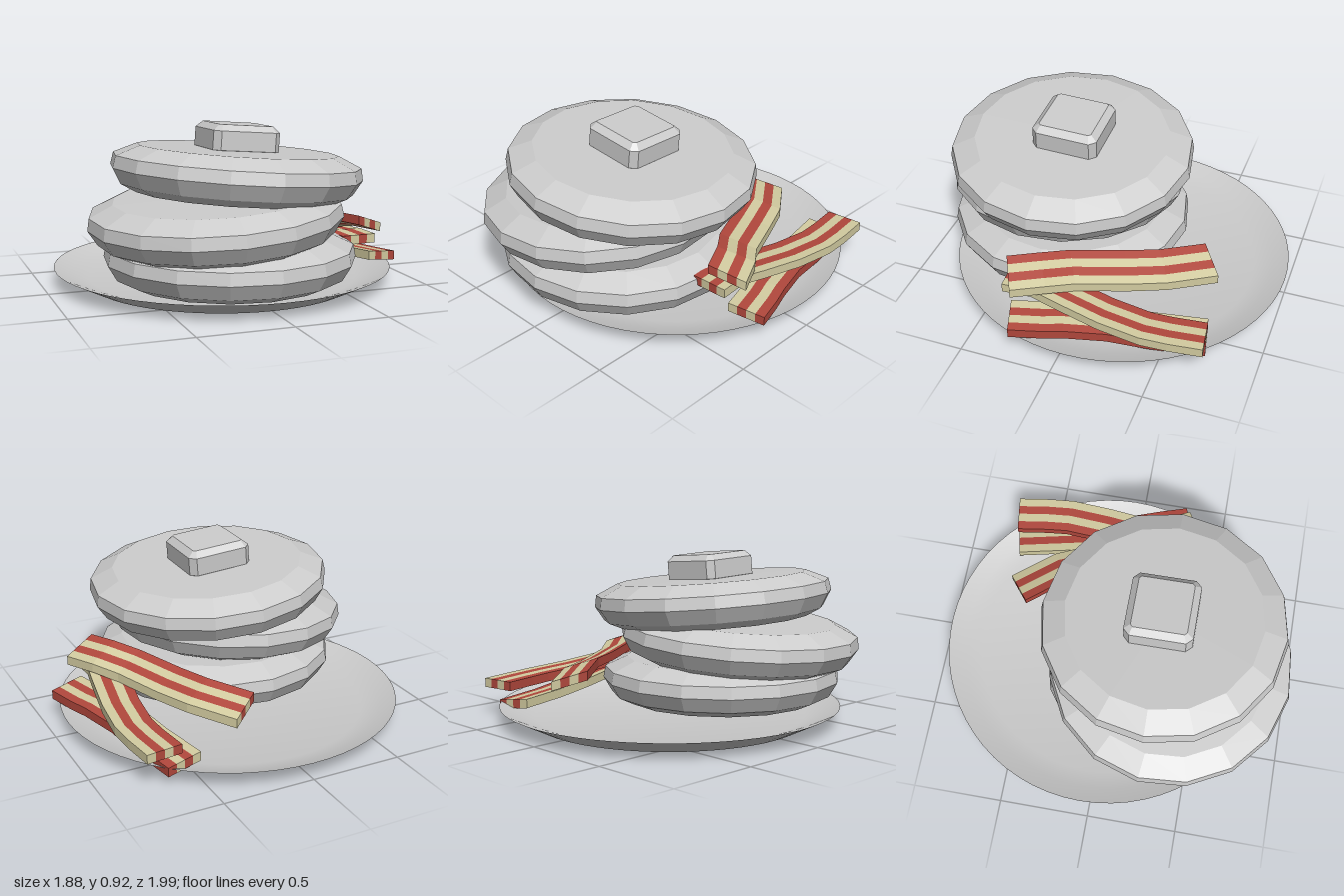
import * as THREE from 'three';
import { toCreasedNormals } from 'three/addons/utils/BufferGeometryUtils.js';

const grey = new THREE.MeshStandardMaterial({ color: 0xcccccc, flatShading: true });
const greySmooth = new THREE.MeshStandardMaterial({ color: 0xcccccc });
const red = new THREE.MeshStandardMaterial({ color: 0xb0473c, flatShading: true });
const cream = new THREE.MeshStandardMaterial({ color: 0xd2cba0, flatShading: true });

const lathe = (points, sides) =>
  new THREE.LatheGeometry(points.map(([r, y]) => new THREE.Vector2(r, y)), sides);

function mesh(name, geometry, material) {
  const m = new THREE.Mesh(geometry, material);
  m.name = name;
  return m;
}

// One long bar of a bacon strip, between u0 and u1 across its width
function stripeGeometry(path, u0, u1, width, thick, drop) {
  const pos = [], index = [], h = thick / 2;
  path.forEach(([x, y, z], i) => {
    const a = path[Math.max(i - 1, 0)], b = path[Math.min(i + 1, path.length - 1)];
    const tx = b[0] - a[0], tz = b[2] - a[2], len = Math.hypot(tx, tz);
    for (const [u, v] of [[u0, -h], [u1, -h], [u1, h], [u0, h]]) {
      pos.push(x + (tz / len) * u * width, y + v - u * drop, z - (tx / len) * u * width);
    }
  });
  for (let i = 0; i < path.length - 1; i++) {
    for (let k = 0; k < 4; k++) {
      const a = i * 4 + k, b = i * 4 + (k + 1) % 4;
      index.push(a, b, b + 4, a, b + 4, a + 4);
    }
  }
  const e = (path.length - 1) * 4;
  index.push(0, 2, 1, 0, 3, 2, e, e + 1, e + 2, e, e + 2, e + 3);
  const g = new THREE.BufferGeometry();
  g.setAttribute('position', new THREE.Float32BufferAttribute(pos, 3));
  g.setIndex(index);
  g.computeVertexNormals();
  return g;
}

// Four alternating stripes side by side
function bacon(name, path, drop, colors) {
  const strip = new THREE.Group();
  strip.name = name;
  for (let s = 0; s < 4; s++) {
    const g = stripeGeometry(path, s / 4 - 0.5, (s + 1) / 4 - 0.5, 0.2, 0.05, drop);
    strip.add(mesh(s % 2 === 0 ? 'stripeA' : 'stripeB', g, colors[s % 2]));
  }
  return strip;
}

export function createModel() {
  const model = new THREE.Group();
  model.name = 'pancakeBreakfast';

  // Shallow plate with a flat floor
  const plateGeo = lathe([[0, 0], [0.76, 0], [0.94, 0.09], [0.85, 0.055], [0.75, 0.03], [0, 0.03]], 64);
  const plate = mesh('plate', toCreasedNormals(plateGeo, 0.25), greySmooth);
  plate.position.z = -0.055;
  model.add(plate);

  // Stack of three tilted pancakes: position, then rotation
  const pancakeGeo = lathe([[0, -0.125], [0.54, -0.12], [0.625, -0.08], [0.672, 0],
    [0.66, 0.065], [0.535, 0.122], [0, 0.125]], 16);
  const stack = [
    ['bottomPancake', [-0.075, 0.2, 0.28], [0, 0.05, 0]],
    ['middlePancake', [-0.17, 0.42, 0.325], [0.035, -0.11, 0.065]],
    ['topPancake', [-0.03, 0.645, 0.255], [-0.03, 0, -0.08]],
  ].map(([name, p, r]) => {
    const group = new THREE.Group();
    group.name = name;
    group.position.set(...p);
    group.rotation.set(...r);
    group.add(mesh('pancake', pancakeGeo, grey));
    model.add(group);
    return group;
  });

  // Bevelled pat of butter lying on the top pancake
  const a = 0.148, c = 0.135;
  const outline = new THREE.Shape([[-c, -a], [c, -a], [a, -c], [a, c], [c, a], [-c, a], [-a, c], [-a, -c]]
    .map(([x, y]) => new THREE.Vector2(x, y)));
  const butterGeo = new THREE.ExtrudeGeometry(outline, {
    depth: 0.1, bevelEnabled: true, bevelSegments: 1, bevelSize: 0.035, bevelThickness: 0.032,
  });
  butterGeo.rotateX(-Math.PI / 2);
  const butter = mesh('butter', butterGeo, grey);
  butter.position.set(-0.005, 0.125, -0.01);
  stack[2].add(butter);

  // Three bacon strips piled beside the stack, from back to front
  model.add(bacon('lowerBacon', [[0.57, 0.085, -0.71], [0.63, 0.095, -0.42], [0.67, 0.115, -0.2],
    [0.74, 0.13, 0.02], [0.78, 0.13, 0.13], [0.83, 0.135, 0.29]], 0.025, [cream, red]));
  model.add(bacon('middleBacon', [[0.685, 0.18, -0.73], [0.71, 0.185, -0.55], [0.72, 0.19, -0.42],
    [0.70, 0.205, -0.2], [0.66, 0.235, 0.05], [0.635, 0.255, 0.2], [0.645, 0.255, 0.37]], 0, [red, cream]));
  model.add(bacon('upperBacon', [[0.185, 0.255, -0.62], [0.35, 0.28, -0.4], [0.43, 0.285, -0.22],
    [0.55, 0.31, 0.04], [0.65, 0.335, 0.17], [0.73, 0.33, 0.33]], 0.065, [red, cream]));

  return model;
}
